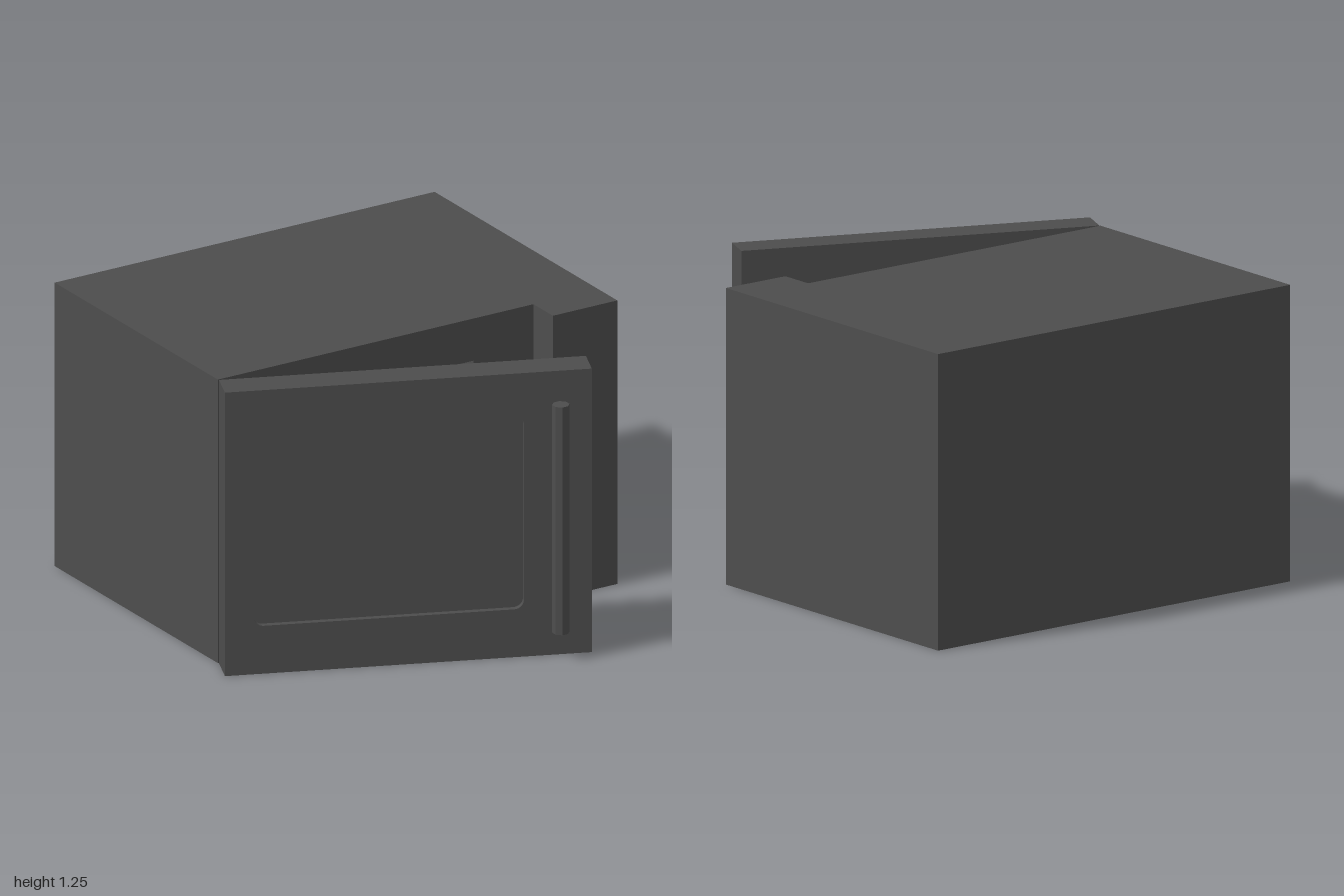
import * as THREE from 'three';

const H = 1.245;
const grey = new THREE.MeshStandardMaterial({ color: 0x4d4d4d });
grey.name = 'dark grey';

function add(parent, name, geometry, x = 0, y = 0, z = 0) {
  const mesh = new THREE.Mesh(geometry, grey);
  mesh.name = name;
  mesh.position.set(x, y, z);
  parent.add(mesh);
  return mesh;
}

// Box given by its limits on each axis
function block(parent, name, x0, x1, y0, y1, z0, z1) {
  return add(parent, name, new THREE.BoxGeometry(x1 - x0, y1 - y0, z1 - z0),
    (x0 + x1) / 2, (y0 + y1) / 2, (z0 + z1) / 2);
}

// Rectangle outline with optional rounded corners
function outline(path, x0, x1, y0, y1, r = 0) {
  if (!r) {
    path.moveTo(x0, y0).lineTo(x1, y0).lineTo(x1, y1).lineTo(x0, y1).closePath();
    return path;
  }
  path.absarc(x1 - r, y0 + r, r, -Math.PI / 2, 0);
  path.absarc(x1 - r, y1 - r, r, 0, Math.PI / 2);
  path.absarc(x0 + r, y1 - r, r, Math.PI / 2, Math.PI);
  path.absarc(x0 + r, y0 + r, r, Math.PI, Math.PI * 1.5);
  path.closePath();
  return path;
}

function extrude(shape, depth) {
  return new THREE.ExtrudeGeometry(shape, { depth, bevelEnabled: false, curveSegments: 5 });
}

export function createModel() {
  const model = new THREE.Group();
  model.name = 'microwaveOven';

  // Hollow casing: tube around the cavity, back slab and control column
  const casing = outline(new THREE.Shape(), -0.89, 0.94, 0, H);
  casing.holes.push(outline(new THREE.Path(), -0.77, 0.34, 0.21, 1.06));
  add(model, 'casing', extrude(casing, 1.12), 0, 0, -0.88);
  block(model, 'backPanel', -0.89, 0.94, 0, H, -1, -0.88);
  block(model, 'controlColumn', 0.63, 0.94, 0, H, 0.24, 0.388);

  // Turntable with raised rim, on a small hub
  const profile = [[0, 0.235], [0.45, 0.235], [0.52, 0.25], [0.53, 0.28],
    [0.51, 0.28], [0.42, 0.25], [0, 0.25]].map(p => new THREE.Vector2(...p));
  add(model, 'turntable', new THREE.LatheGeometry(profile, 32), -0.215, 0, -0.34);
  add(model, 'turntableHub', new THREE.CylinderGeometry(0.1, 0.1, 0.03, 20), -0.215, 0.222, -0.34);

  // Door, swung open about its left edge
  const door = new THREE.Group();
  door.name = 'door';
  door.position.set(-0.888, 0, 0.245);
  door.rotation.y = -Math.PI / 8;
  model.add(door);

  const frame = outline(new THREE.Shape(), 0, 1.515, 0, H);
  frame.holes.push(outline(new THREE.Path(), 0.12, 1.235, 0.21, 1.06, 0.04));
  add(door, 'doorFrame', extrude(frame, 0.14));
  const pane = outline(new THREE.Shape(), 0.12, 1.235, 0.21, 1.06, 0.04);
  add(door, 'doorWindow', extrude(pane, 0.09), 0, 0, 0.025);

  // Handle bar on two posts
  const bar = new THREE.CylinderGeometry(0.036, 0.036, 1, 8).toNonIndexed();
  bar.computeVertexNormals();
  add(door, 'handleBar', bar, 1.375, 0.625, 0.208);
  for (const y of [0.21, 1.04]) {
    const post = add(door, 'handlePost', new THREE.CylinderGeometry(0.022, 0.022, 0.07, 10), 1.375, y, 0.17);
    post.rotation.x = Math.PI / 2;
  }
  return model;
}
